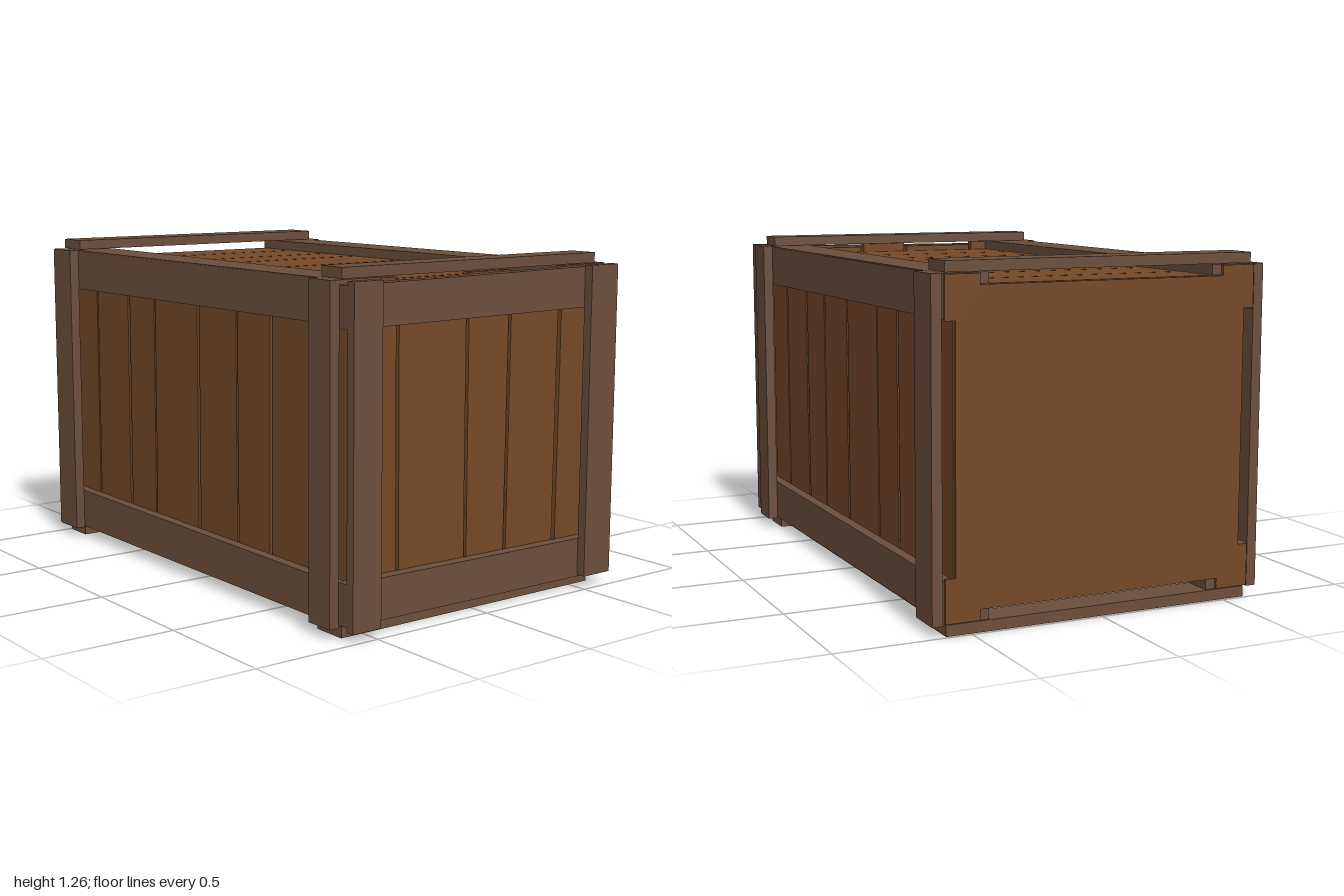
import * as THREE from 'three';

const plankMat = new THREE.MeshStandardMaterial({ color: 0x744828 });
plankMat.name = 'plank brown';
const frameMat = new THREE.MeshStandardMaterial({ color: 0x6c4e3c });
frameMat.name = 'frame brown';

// Flat board: outline in the panel plane, thickness from w0 to w1 (outward)
function board(name, points, w0, w1, mat) {
  const shape = new THREE.Shape(points.map(([u, v]) => new THREE.Vector2(u, v)));
  const geo = new THREE.ExtrudeGeometry(shape, { depth: w1 - w0, bevelEnabled: false });
  geo.translate(0, 0, w0);
  const mesh = new THREE.Mesh(geo, mat);
  mesh.name = name;
  return mesh;
}

const rect = (u0, u1, v0, v1) => [[u0, v0], [u1, v0], [u1, v1], [u0, v1]];

// Upright planks; each seam is [u at bottom, u at top, gap width]
function planks(group, u0, u1, seams, v0, v1, w0, w1, ends = () => 0) {
  const edges = [[u0, u0, 0], ...seams, [u1, u1, 0]];
  for (let i = 0; i < edges.length - 1; i++) {
    const [a, b] = [edges[i], edges[i + 1]];
    const e = ends(i);
    group.add(board('plank', [
      [a[0] + a[2] / 2, v0 - e], [b[0] - b[2] / 2, v0 - e],
      [b[1] - b[2] / 2, v1 + e], [a[1] + a[2] / 2, v1 + e],
    ], w0, w1, plankMat));
  }
}

function panel(root, name, rx = 0, ry = 0) {
  const g = new THREE.Group();
  g.name = name;
  g.rotation.set(rx, ry, 0);
  root.add(g);
  return g;
}

export function createModel() {
  const root = new THREE.Group();
  root.name = 'woodenCrate';

  // Inner body seen through the seams
  const core = new THREE.Mesh(new THREE.BoxGeometry(1.07, 1.04, 1.875), plankMat);
  core.name = 'innerBody';
  core.position.set(0, 0.63, -0.05);
  root.add(core);

  // Front panel
  const front = panel(root, 'frontPanel');
  planks(front, -0.565, 0.565,
    [[-0.35, -0.357, 0.013], [-0.036, -0.04, 0.013], [0.155, 0.165, 0.013], [0.405, 0.415, 0.018]],
    0.055, 1.2, 0.885, 0.92, (i) => (i % 2 ? 0 : 0.013));
  front.add(
    board('lowerRail', [[-0.605, 0.05], [0.625, 0.043], [0.625, 0.19], [-0.605, 0.2]], 0.92, 0.964, frameMat),
    board('upperRail', [[-0.605, 1.055], [0.625, 1.062], [0.625, 1.212], [-0.605, 1.2]], 0.92, 0.964, frameMat),
    board('post', rect(-0.606, -0.485, 0.035, 1.215), 0.964, 1, frameMat),
    board('post', rect(0.495, 0.63, 0.05, 1.217), 0.964, 1, frameMat),
  );

  // Side panels, horizontal axis follows -z on the left and +z on the right
  for (const s of [1, -1]) {
    const side = panel(root, s > 0 ? 'leftPanel' : 'rightPanel', 0, s * Math.PI / 2);
    const seams = [[-0.725, -0.73], [-0.47, -0.48], [-0.26, -0.26], [0.002, -0.003],
      [0.32, 0.31], [0.515, 0.51], [0.77, 0.765]]
      .map(([a, b], i) => [a * s, b * s, i % 2 ? 0.014 : 0.009]);
    if (s < 0) seams.reverse();
    const [back, fore] = [0.988 * s, -0.92 * s];
    const [lo, hi] = [Math.min(back, fore), Math.max(back, fore)];
    planks(side, lo, hi, seams, 0.083, 1.175, 0.53, 0.565);
    side.add(
      board('lowerRail', [[lo, 0.045], [hi, 0.045], [hi, 0.192], [lo, 0.2]], 0.565, 0.605, frameMat),
      board('upperRail', [[lo, 1.055], [hi, 1.065], [hi, 1.213], [lo, 1.21]], 0.565, 0.605, frameMat),
    );
    for (const [a, b] of [[-0.92, -0.8], [0.85, 0.992]]) {
      const [p, q] = [a * s, b * s].sort((m, n) => m - n);
      side.add(board('post', rect(p, q, 0.038, 1.216), 0.605, 0.643, frameMat));
    }
  }

  // Top and bottom panels
  for (const s of [1, -1]) {
    const lid = panel(root, s > 0 ? 'topPanel' : 'bottomPanel', -s * Math.PI / 2);
    const zs = [-0.77, -0.523, -0.32, -0.013, 0.25, 0.403, 0.645, 0.885];
    const edges = [-0.988, ...zs];
    const base = s > 0 ? 0 : -0.08;
    const w0 = s > 0 ? 1.145 : -0.115;
    const w1 = s > 0 ? 1.178 : base;
    for (let i = 0; i < edges.length - 1; i++) {
      const [a, b] = [-s * (edges[i] + 0.005), -s * (edges[i + 1] - 0.005)];
      const [lo, hi] = [Math.min(a, b), Math.max(a, b)];
      lid.add(board('plank', rect(-0.563, 0.563, lo, hi), w0, w1, plankMat));
    }
    const [v0, v1] = s > 0 ? [-0.92, 0.988] : [-0.988, 0.92];
    for (const m of [-1, 1]) {
      const [p, q] = [m * 0.433, m * 0.603].sort((x, y) => x - y);
      lid.add(board('rail', rect(p, q, v0, v1), w1, w1 + 0.038, frameMat));
    }
    const battens = s > 0 ? [[0.805, 0.918], [-0.988, -0.855]] : [[0.785, 0.918], [-0.99, -0.87]];
    for (const [a, b] of battens) {
      const [p, q] = [-s * a, -s * b].sort((x, y) => x - y);
      lid.add(board('batten', rect(-0.592, 0.592, p, q), w1 + 0.04, s > 0 ? 1.256 : 0, frameMat));
    }
  }

  // Plain back sheet, notched between the frame rails
  const [x, xi, y0, y1] = [0.598, 0.56, 0.045, 1.213];
  root.add(board('backSheet', [
    [-x, y0], [-0.47, y0], [-0.47, 0.083], [0.47, 0.083], [0.47, y0], [x, y0],
    [x, 0.2], [xi, 0.2], [xi, 1.06], [x, 1.06], [x, y1], [0.47, y1],
    [0.47, 1.176], [-0.47, 1.176], [-0.47, y1], [-x, y1],
    [-x, 1.06], [-xi, 1.06], [-xi, 0.2], [-x, 0.2],
  ], -1, -0.987, plankMat));

  return root;
}
